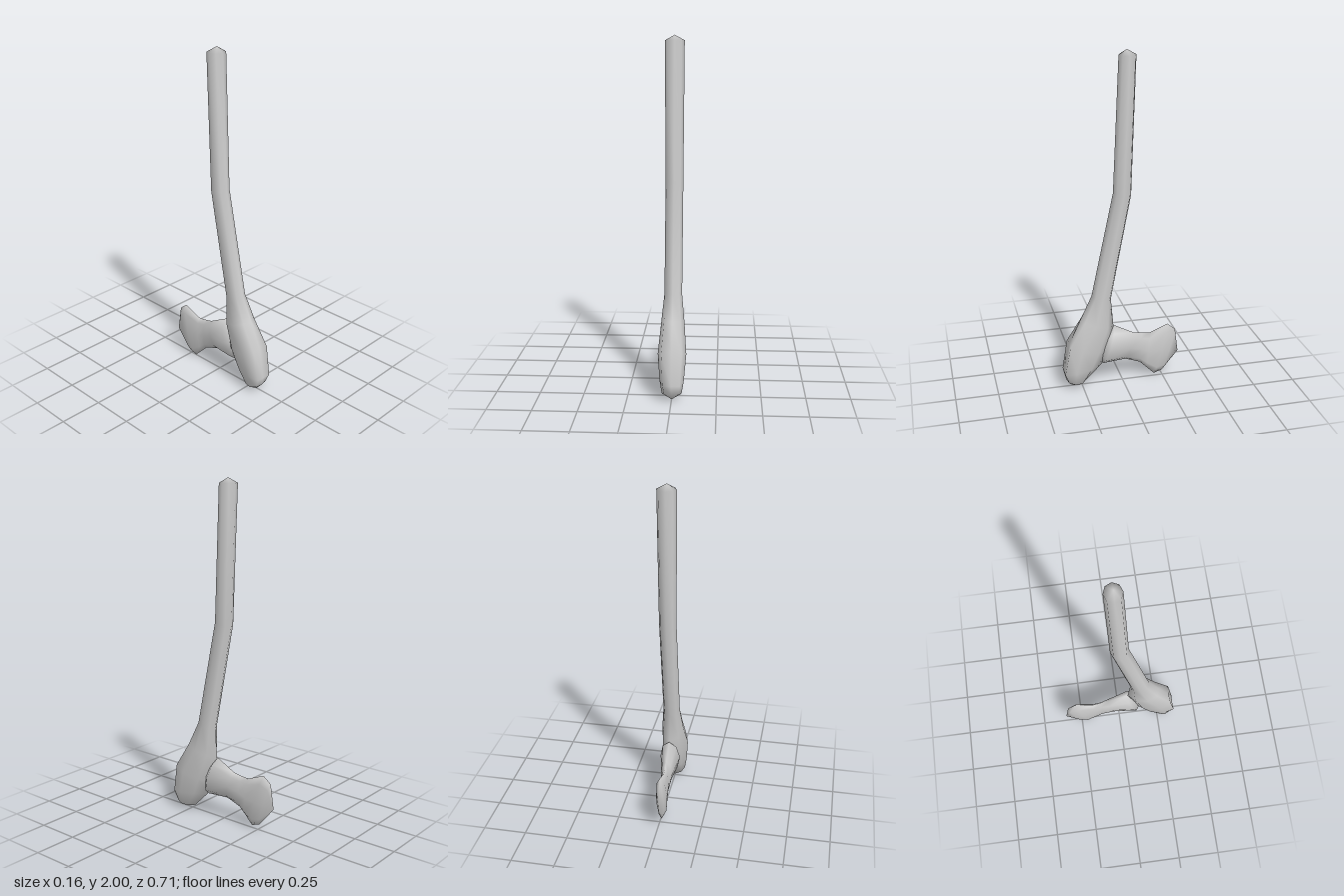
import * as THREE from 'three';
import { mergeVertices } from 'three/addons/utils/BufferGeometryUtils.js';

const SIDES = 8;

// Lofts rings given as [z1, y1, z2, y2, halfWidth, sideShiftZ, centreX];
// (z1, y1) and (z2, y2) are opposite points of the ring in the side plane.
function loft(rings) {
  const pos = [], index = [];
  for (const [z1, y1, z2, y2, w, shift = 0, cx = 0] of rings) {
    for (let j = 0; j < SIDES; j++) {
      const a = (j / SIDES) * Math.PI * 2;
      const c = Math.cos(a), s = j % (SIDES / 2) === 0 ? 0 : Math.sin(a);
      pos.push(
        cx + w * s,
        (y1 + y2) / 2 + (c * (y1 - y2)) / 2,
        (z1 + z2) / 2 + (c * (z1 - z2)) / 2 + shift * Math.abs(s)
      );
    }
  }
  for (let i = 0; i < rings.length - 1; i++) {
    for (let j = 0; j < SIDES; j++) {
      const k = (j + 1) % SIDES;
      const a = i * SIDES + j, b = i * SIDES + k;
      const c = a + SIDES, d = b + SIDES;
      // rings of zero size close the ends, so skip their empty triangles
      if (i < rings.length - 2) index.push(a, c, d);
      else index.push(a, c, b);
      if (i > 0 && i < rings.length - 2) index.push(a, d, b);
    }
  }
  const g = new THREE.BufferGeometry();
  g.setAttribute('position', new THREE.Float32BufferAttribute(pos, 3));
  g.setIndex(index);
  const merged = mergeVertices(g, 1e-5);
  merged.computeVertexNormals();
  return merged;
}

export function createModel() {
  const group = new THREE.Group();
  const material = new THREE.MeshStandardMaterial({ color: 0xcccccc });
  const add = (name, rings) => {
    const mesh = new THREE.Mesh(loft(rings), material);
    mesh.name = name;
    group.add(mesh);
  };

  // Bent handle flowing into the heavy front of the head, top to bottom
  add('handleAndHead', [
    [-0.025, 2.0, -0.025, 2.0, 0],
    [0.022, 1.97, -0.077, 1.97, 0.055],
    [0.055, 1.2, -0.05, 1.18, 0.05],
    [0.185, 0.58, 0.07, 0.55, 0.05],
    [0.25, 0.44, 0.055, 0.375, 0.066, 0.02],
    [0.32, 0.29, 0.075, 0.22, 0.08, 0.06],
    [0.355, 0.1, 0.13, 0.125, 0.068, 0.05],
    [0.345, 0.05, 0.23, 0.025, 0.056, 0.01],
    [0.305, 0.005, 0.305, 0.005, 0],
  ]);

  // Narrow neck flaring into the thin rear blade, front to back
  add('rearBlade', [
    [0.15, 0.24, 0.15, 0.24, 0],
    [0.12, 0.13, 0.05, 0.375, 0.06],
    [-0.02, 0.14, -0.07, 0.31, 0.036, 0, -0.004],
    [-0.11, 0.105, -0.12, 0.3, 0.024, 0, -0.008],
    [-0.15, 0.065, -0.17, 0.295, 0.024, 0, -0.01],
    [-0.2, 0.015, -0.28, 0.34, 0.033, 0, -0.01],
    [-0.25, 0.03, -0.33, 0.3, 0.022, 0, -0.012],
    [-0.35, 0.15, -0.35, 0.15, 0, 0, -0.015],
  ]);
  return group;
}
